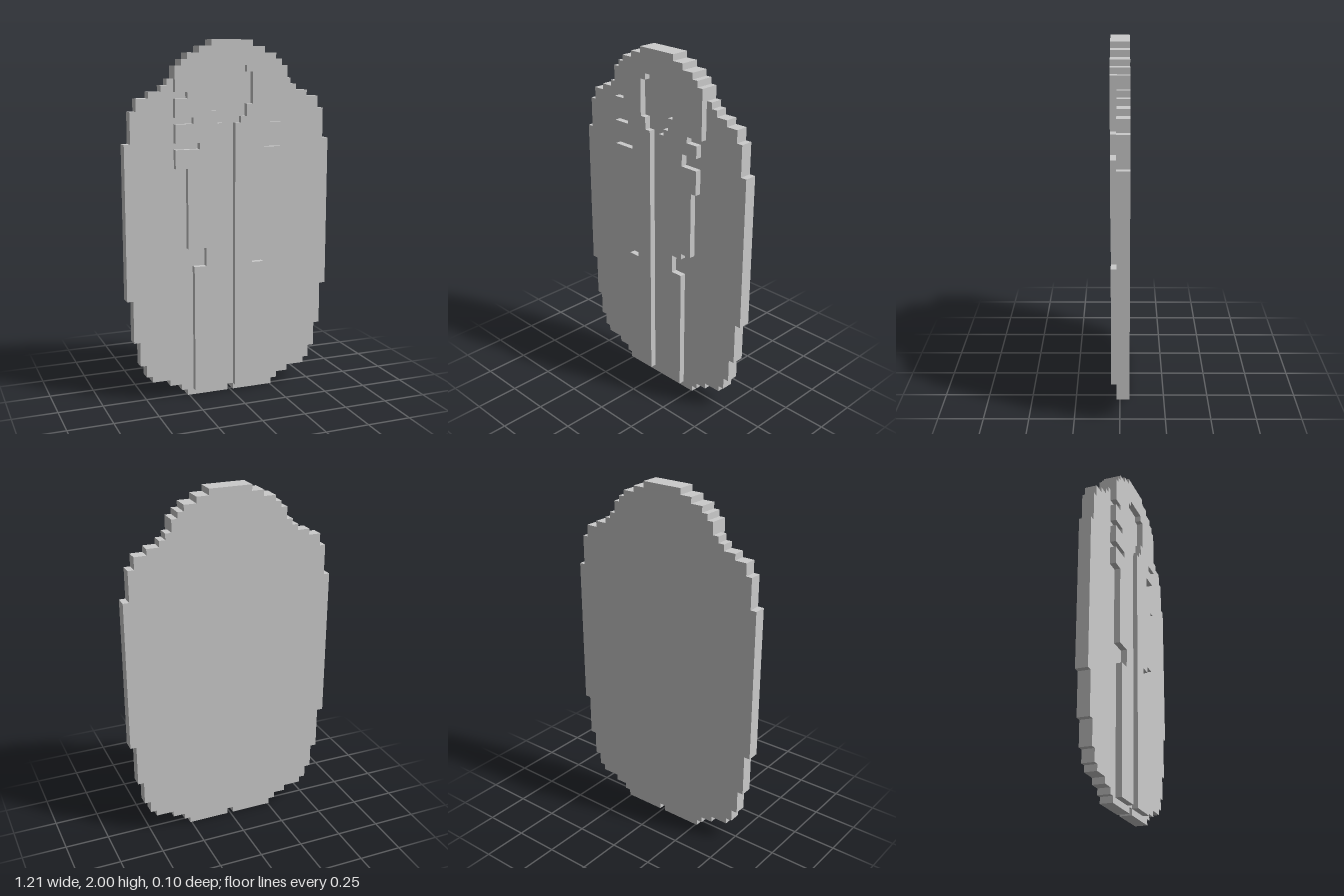
import * as THREE from 'three';

const COLS = 35, ROWS = 58, CELL = 2 / ROWS;

// Plate whose outline steps along a square grid: moves alternate column, row, column, row...
function steppedPlate(name, startCol, startRow, moves, zBack, zFront, material) {
  let col = startCol, row = startRow;
  const point = () => new THREE.Vector2((col - COLS / 2) * CELL, row * CELL);
  const points = [point()];
  moves.forEach((value, i) => {
    if (i % 2 === 0) col = value;
    else row = value;
    points.push(point());
  });
  const geometry = new THREE.ExtrudeGeometry(new THREE.Shape(points), {
    depth: zFront - zBack, bevelEnabled: false,
  });
  geometry.translate(0, 0, zBack);
  const mesh = new THREE.Mesh(geometry, material);
  mesh.name = name;
  return mesh;
}

export function createModel() {
  const group = new THREE.Group();
  group.name = 'steppedRelief';
  const material = new THREE.MeshStandardMaterial({ color: 0xcccccc, flatShading: true });
  const back = -1.5 * CELL, step = 0.5 * CELL, front = 1.5 * CELL;

  // Symmetric oval backing: right half as [column, row reached at that column]
  const half = [
    [25, 1], [26, 2], [28, 3], [31, 4], [32, 6], [33, 10], [34, 17], [35, 42], [34, 47], [33, 49],
    [31, 50], [29, 51], [28, 52], [27, 54], [26, 55], [25, 56], [23, 57], [21, 58],
  ];
  const backingMoves = half.flat();
  for (let i = half.length - 1; i >= 0; i--) {
    backingMoves.push(COLS - half[i][0], i > 0 ? half[i - 1][1] : 0);
  }
  // small notch at the bottom centre
  backingMoves.push(17, 1, 18);
  group.add(steppedPlate('backingPlate', 18, 0, backingMoves, back, step, material));

  // Raised figure: right side, crown, left side, then the inner slot and head recess
  const reliefMoves = [
    23, 22, 21, 25, 23, 26, 25, 37, 26, 41, 23, 43, 26, 45, 24, 46, 27, 54,
    26, 55, 25, 56, 23, 57, 21, 58, 14, 57, 12, 56, 10, 55, 9, 54,
    8, 50, 10, 49, 8, 46, 11, 45, 8, 42, 12, 41, 8, 38, 10, 25, 13, 22, 11, 1,
    16, 45, 15, 47, 14, 53, 15, 54, 20, 53, 21, 48, 20, 46, 19, 45, 18,
  ];
  group.add(steppedPlate('raisedRelief', 18, 1, reliefMoves, step, front, material));

  return group;
}
